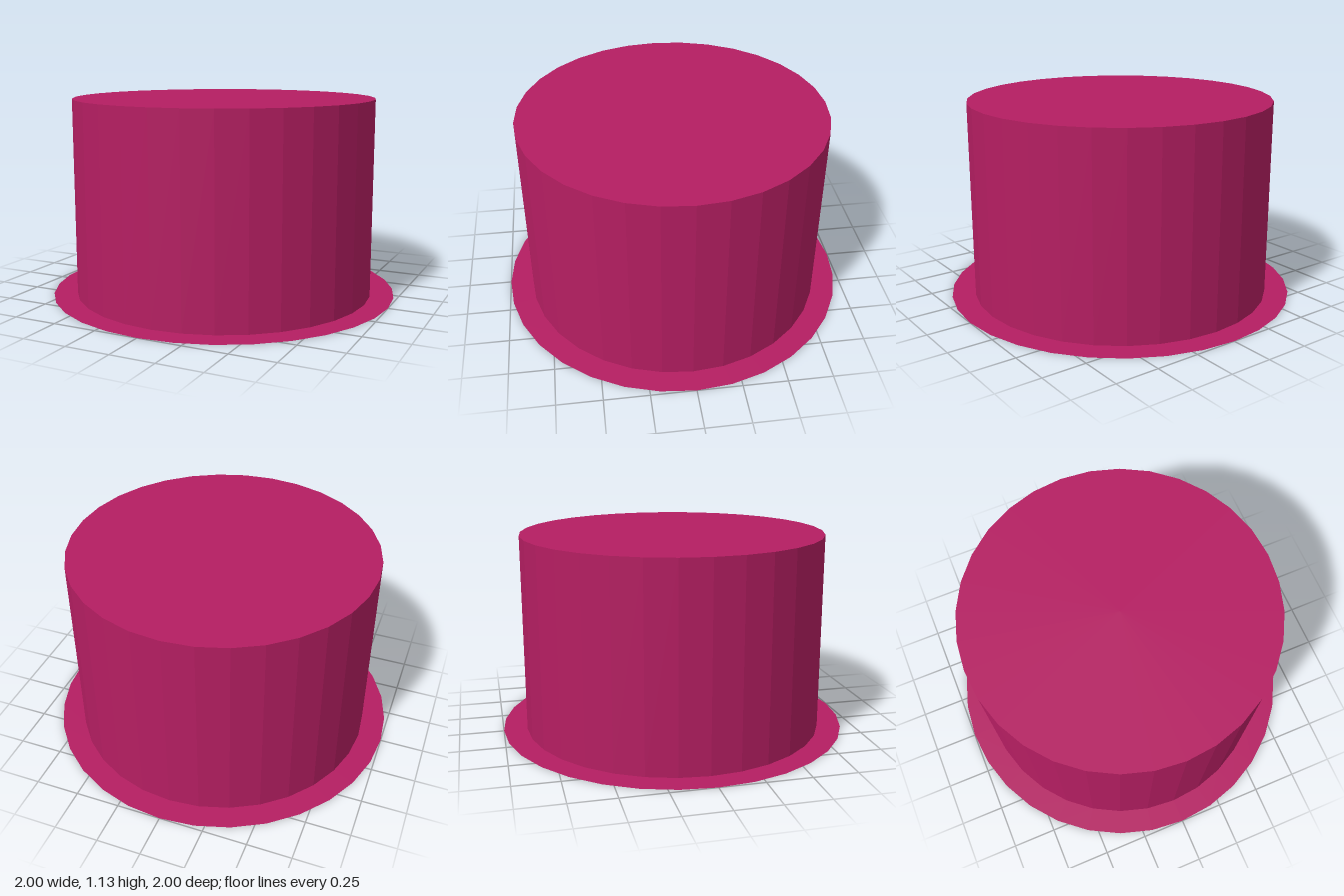
import * as THREE from 'three';

export function createModel() {
  const group = new THREE.Group();
  const sides = 32, crownRadius = 0.865, brimRadius = 1, height = 1.13;
  const material = new THREE.MeshStandardMaterial({
    color: 0xb51e62, flatShading: true, side: THREE.DoubleSide,
  });

  const add = (name, geometry, y) => {
    const mesh = new THREE.Mesh(geometry, material);
    mesh.name = name;
    mesh.position.y = y;
    group.add(mesh);
  };

  // Open-bottomed wall of the crown
  add('crownWall', new THREE.CylinderGeometry(crownRadius, crownRadius, height, sides, 1, true), height / 2);

  // Flat lid closing the crown
  add('crownTop', new THREE.CircleGeometry(crownRadius, sides).rotateX(-Math.PI / 2), height);

  // Thin flat brim around the opening
  add('brim', new THREE.RingGeometry(crownRadius, brimRadius, sides).rotateX(-Math.PI / 2), 0);

  return group;
}
